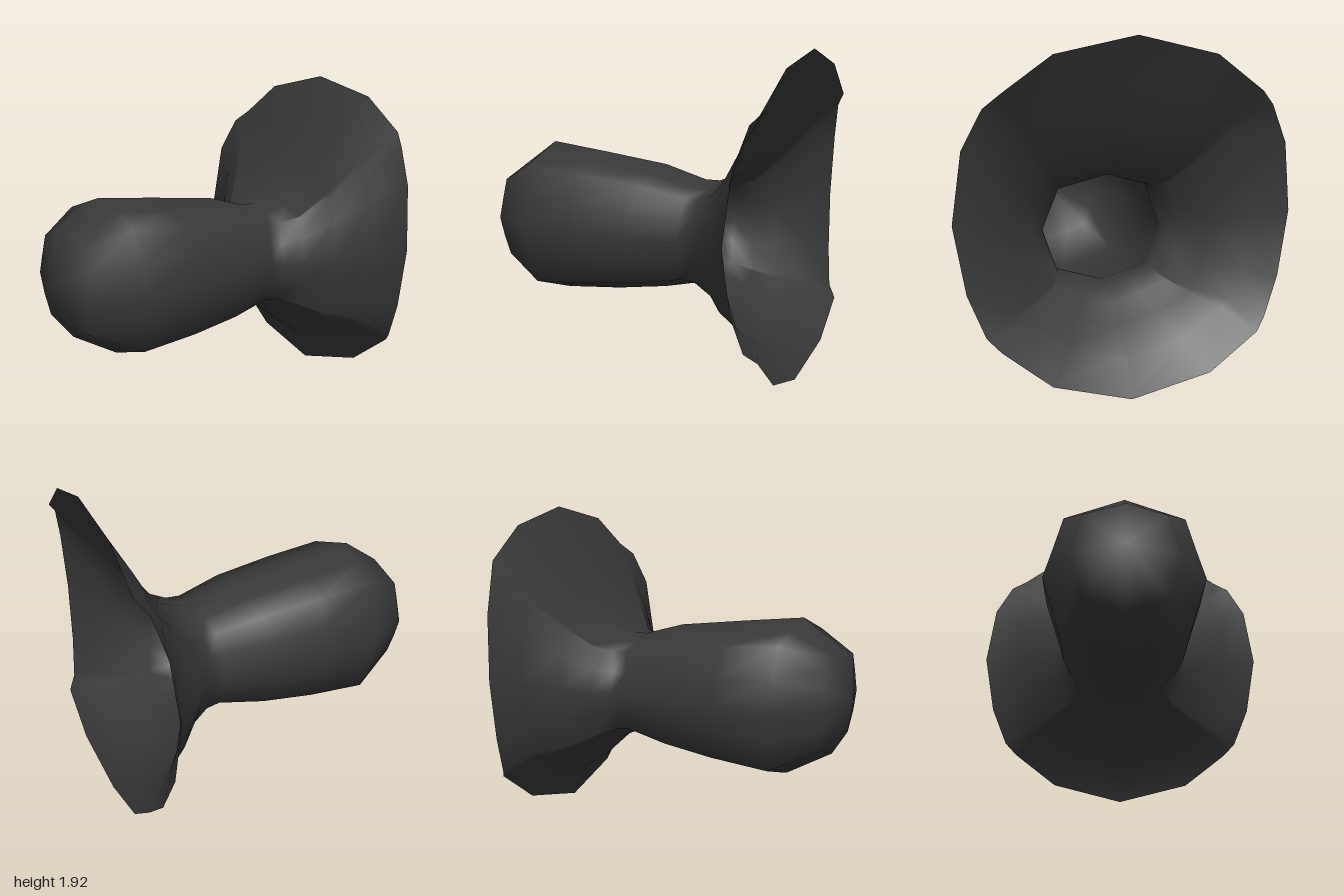
import * as THREE from 'three';
import { mergeVertices } from 'three/addons/utils/BufferGeometryUtils.js';

// Half outlines running from the top (0) round the +z side (5) to the bottom (10), as [up, side]
const OCTAGON = [[1, 0], [0.88, 0.38], [0.76, 0.76], [0.76, 0.76], [0.38, 0.88], [0, 1],
  [-0.38, 0.88], [-0.76, 0.76], [-0.76, 0.76], [-0.88, 0.38], [-1, 0]];
const ROUND = [[1, 0], [0.9, 0.47], [0.7, 0.75], [0.62, 0.84], [0.4, 0.95], [0, 1],
  [-0.37, 0.93], [-0.6, 0.83], [-0.665, 0.757], [-0.88, 0.47], [-1, 0]];
const COLUMNS = 20;

// Rings: x at top, side, bottom; y at top, middle, bottom; half width; roundness
const RINGS = [
  [-1, -1, -1, 0.87, 0.87, 0.87, 0, 0],
  [-0.91, -0.92, -0.88, 1.17, 0.86, 0.54, 0.30, 0],
  [-0.69, -0.65, -0.60, 1.325, 0.85, 0.38, 0.45, 0],
  [-0.32, -0.32, -0.23, 1.28, 0.85, 0.415, 0.445, 0],
  [0.10, 0.00, 0.10, 1.225, 0.84, 0.465, 0.415, 0],
  [0.36, 0.32, 0.34, 1.15, 0.835, 0.52, 0.35, 0],
  [0.45, 0.40, 0.43, 1.15, 0.835, 0.51, 0.365, 0],
  [0.58, 0.49, 0.58, 1.20, 0.84, 0.44, 0.44, 0.1],
  [0.73, 0.62, 0.67, 1.40, 0.88, 0.32, 0.58, 0.5],
  [0.86, 0.77, 0.85, 1.66, 0.93, 0.205, 0.74, 0.8],
  [1.00, 0.85, 0.94, 1.92, 0.97, 0.00, 0.93, 1],
];
// The rim waves in and out along x
const RIM_X = [1, 0.99, 0.98, 0.925, 0.88, 0.85, 0.87, 0.91, 0.965, 0.96, 0.94];

function hornGeometry() {
  const positions = [], index = [];
  RINGS.forEach(([xt, xs, xb, yt, ym, yb, width, roundness], i) => {
    for (let j = 0; j < COLUMNS; j++) {
      const k = j <= 10 ? j : COLUMNS - j;
      const up = THREE.MathUtils.lerp(OCTAGON[k][0], ROUND[k][0], roundness);
      const side = THREE.MathUtils.lerp(OCTAGON[k][1], ROUND[k][1], roundness);
      const x = i === RINGS.length - 1 ? RIM_X[k] : xs + ((up > 0 ? xt : xb) - xs) * up * up;
      const y = ym + up * (up > 0 ? yt - ym : ym - yb);
      positions.push(x, y, side * width * (j <= 10 ? 1 : -1));
    }
  });
  for (let i = 0; i < RINGS.length - 1; i++) {
    for (let j = 0; j < COLUMNS; j++) {
      const a = i * COLUMNS + j, b = i * COLUMNS + (j + 1) % COLUMNS;
      const c = a + COLUMNS, d = b + COLUMNS;
      index.push(a, b, c, b, d, c);
    }
  }
  const geometry = new THREE.BufferGeometry();
  geometry.setAttribute('position', new THREE.Float32BufferAttribute(positions, 3));
  geometry.setIndex(index);
  // Weld the tip and the doubled corner columns so shading stays smooth
  const welded = mergeVertices(geometry, 1e-4);
  welded.computeVertexNormals();
  return welded;
}

export function createModel() {
  const rubber = new THREE.MeshStandardMaterial({ color: 0x383838, side: THREE.DoubleSide });
  rubber.name = 'dark rubber';

  // One hollow skin: closed bulb, narrow neck and flared cup
  const horn = new THREE.Mesh(hornGeometry(), rubber);
  horn.name = 'bulbAndFlaredCup';

  const model = new THREE.Group();
  model.name = 'flaredCup';
  model.add(horn);
  return model;
}
